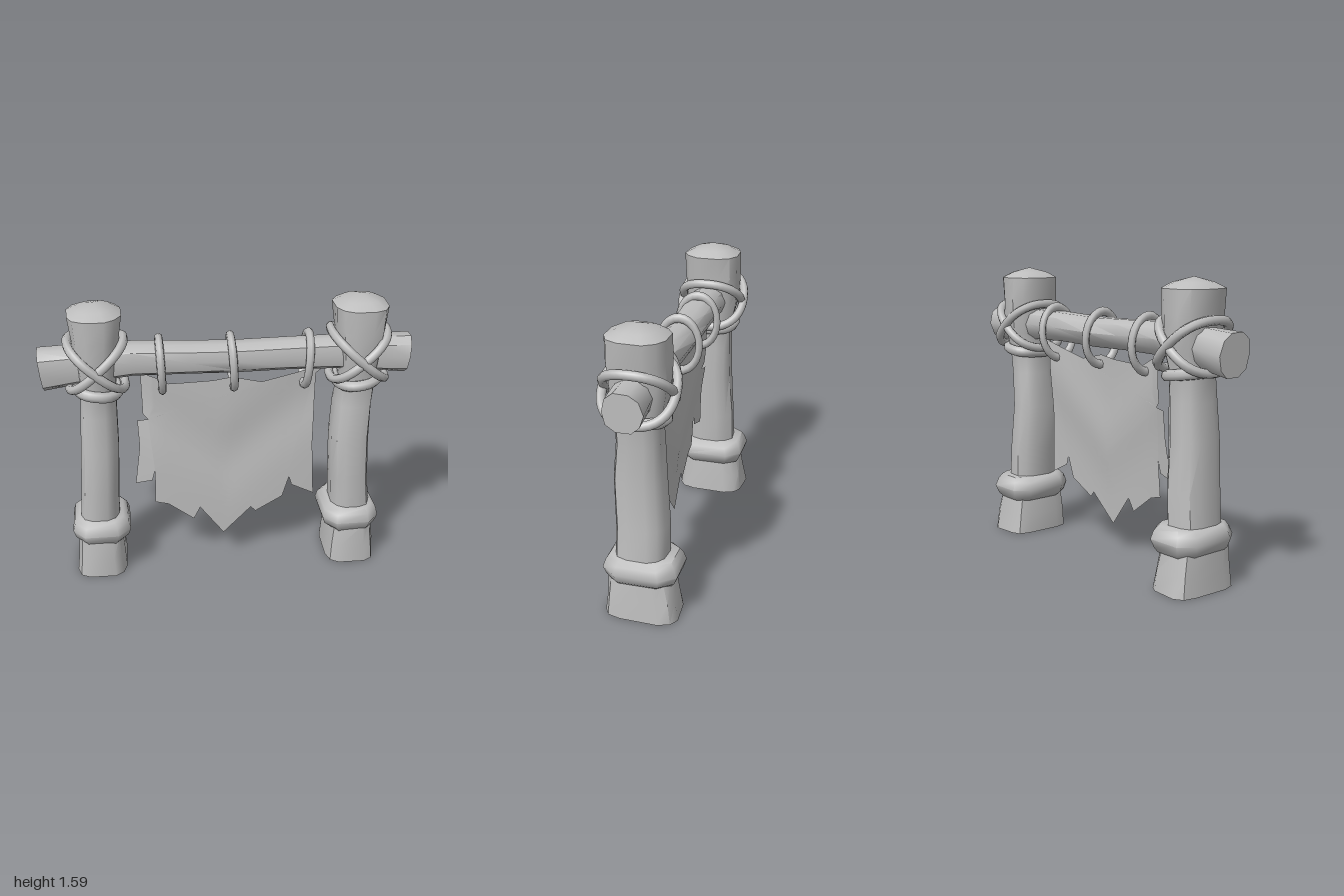
import * as THREE from 'three';
import { mergeVertices, toCreasedNormals } from 'three/addons/utils/BufferGeometryUtils.js';

const grey = new THREE.MeshStandardMaterial({ color: 0xbdbdbd, side: THREE.DoubleSide });
grey.name = 'plain grey';

// Small seeded generator for hand-hewn irregularity
function seeded(seed) {
  let s = seed;
  return () => (s = (s * 16807) % 2147483647) / 2147483647;
}

// Point on a rounded-square outline; power 1 is an ellipse, lower is boxier
function outline(a, power) {
  const f = (v) => Math.sign(v) * Math.abs(v) ** power;
  return [f(Math.cos(a)), f(Math.sin(a))];
}

// Capped skin over rings [y, centreX, centreZ, radiusX, radiusZ]; grooves are per-side dents
function loft(rings, { sides = 12, power = 0.8, rough = 0.05, seed = 7, dome = 0, crease = 0.7 } = {}) {
  const rnd = seeded(seed), pos = [], idx = [];
  for (let k = 0; k < 5; k++) rnd();
  const groove = Array.from({ length: sides }, () => 1 - rough * rnd());
  for (const [y, cx, cz, rx, rz] of rings) {
    for (let i = 0; i < sides; i++) {
      const [c, s] = outline(((i + 0.5) / sides) * Math.PI * 2, power);
      const k = groove[i] + rough * (rnd() - 0.4);
      pos.push(cx + c * rx * k, y, cz + s * rz * k);
    }
  }
  const n = rings.length, at = (r, i) => r * sides + (i % sides);
  for (let r = 0; r < n - 1; r++) for (let i = 0; i < sides; i++) {
    idx.push(at(r, i), at(r + 1, i), at(r, i + 1), at(r, i + 1), at(r + 1, i), at(r + 1, i + 1));
  }
  const first = rings[0], last = rings[n - 1];
  pos.push(first[1], first[0], first[2], last[1], last[0] + dome, last[2]);
  for (let i = 0; i < sides; i++) {
    idx.push(n * sides, at(0, i), at(0, i + 1), n * sides + 1, at(n - 1, i + 1), at(n - 1, i));
  }
  // Cap centres: x, y, z
  pos.splice(n * sides * 3, 6, first[1], first[0], first[2], last[1], last[0] + dome, last[2]);
  const g = new THREE.BufferGeometry();
  g.setAttribute('position', new THREE.Float32BufferAttribute(pos, 3));
  g.setIndex(idx);
  return toCreasedNormals(g, crease);
}

function add(parent, name, geometry) {
  const mesh = new THREE.Mesh(geometry, grey);
  mesh.name = name;
  parent.add(mesh);
  return mesh;
}

// Closed rope round a post; tilt is the height change from centre to the +x side
function ropeLoop(cx, cy, rx, rz, tilt, r) {
  const pts = [];
  for (let i = 0; i < 20; i++) {
    const [c, s] = outline((i / 20) * Math.PI * 2, 0.85);
    pts.push(new THREE.Vector3(cx + c * rx, cy + c * tilt, s * rz));
  }
  return new THREE.TubeGeometry(new THREE.CatmullRomCurve3(pts, true), 40, r, 7, true);
}

function post(name, side, topX, bend, seed) {
  const g = new THREE.Group();
  g.name = name;
  const x = side * 0.72, bandX = side * 0.713;
  add(g, 'foot', loft([
    [0.01, x, -0.015, 0.147, 0.203], [0.12, x, -0.01, 0.136, 0.188], [0.25, x, 0, 0.124, 0.17],
  ], { power: 0.5, rough: 0.05, seed }));
  add(g, 'footBand', loft([
    [0.21, bandX, -0.01, 0.13, 0.175], [0.235, bandX, -0.01, 0.155, 0.195], [0.28, bandX, -0.01, 0.17, 0.211],
    [0.325, bandX, -0.01, 0.157, 0.195], [0.352, bandX, -0.01, 0.13, 0.175],
  ], { sides: 8, power: 0.6, rough: 0.03, seed: seed + 3, crease: 1 }));
  add(g, 'shaft', loft([
    [0.3, x, 0, 0.115, 0.142], [0.52, x + bend * 0.5, 0, 0.11, 0.14], [0.78, x + bend, 0.012, 0.108, 0.134],
    [0.98, (x + topX) / 2 + bend / 2, 0, 0.104, 0.122], [1.12, topX, 0, 0.1, 0.118],
    [1.22, topX, 0, 0.11, 0.145], [1.32, topX, 0, 0.12, 0.158], [1.42, topX, 0, 0.132, 0.16],
    [1.545, topX, 0, 0.147, 0.162], [1.575, topX, 0, 0.095, 0.1],
  ], { power: 0.72, rough: 0.06, seed: seed + 9, dome: 0.027 }));
  // Lashing: a crossed pair over and under the beam, and a collar below
  add(g, 'crossRopeA', ropeLoop(topX, 1.265, 0.148, 0.174, 0.13, 0.025));
  add(g, 'crossRopeB', ropeLoop(topX, 1.265, 0.148, 0.184, -0.13, 0.025));
  add(g, 'collarRope', ropeLoop(topX, 1.12, 0.11, 0.133, 0.015 * side, 0.03));
  return g;
}

// Torn cloth: outline triangulated, split finely, then folded by a rule
function clothGeometry() {
  const edge = [
    [-0.52, 1.2], [-0.46, 1.165], [-0.455, 0.94], [-0.428, 0.909], [-0.487, 0.9], [-0.48, 0.75], [-0.51, 0.525],
    [-0.417, 0.545], [-0.4, 0.61], [-0.405, 0.41], [-0.33, 0.39], [-0.187, 0.283], [-0.15, 0.353],
    [-0.016, 0.176], [0.144, 0.33], [0.17, 0.3], [0.326, 0.385], [0.364, 0.508], [0.38, 0.455],
    [0.508, 0.39], [0.492, 0.716], [0.5, 1.14], [0.57, 1.2], [0.5, 1.18], [0.385, 1.15], [0.2, 1.108],
    [0.037, 1.144], [-0.07, 1.128], [-0.31, 1.118], [-0.39, 1.16],
  ].map(([x, y]) => new THREE.Vector2(x, y));
  const flat = new THREE.ShapeGeometry(new THREE.Shape(edge)).toNonIndexed().getAttribute('position');
  let pts = [];
  for (let i = 0; i < flat.count; i++) pts.push(new THREE.Vector3().fromBufferAttribute(flat, i));
  for (let round = 0; round < 4; round++) {
    const next = [];
    for (let i = 0; i < pts.length; i += 3) {
      const [a, b, c] = pts.slice(i, i + 3);
      const ab = a.clone().lerp(b, 0.5), bc = b.clone().lerp(c, 0.5), ca = c.clone().lerp(a, 0.5);
      next.push(a, ab, ca, ab, b, bc, ca, bc, c, ab, bc, ca);
    }
    pts = next;
  }
  // The hem swings forward, more on the right; a soft V hangs from the top corners
  const folded = pts.map(({ x, y }) => {
    const hang = (1.15 - y) * (0.045 - 0.06 * x);
    const sag = (y - 0.65 - 0.8 * Math.abs(x)) / 0.2;
    const flap = Math.max(0, -x - 0.4) * 0.2;
    return new THREE.Vector3(x, y, hang - 0.018 * Math.exp(-sag * sag) - flap);
  });
  const g = mergeVertices(new THREE.BufferGeometry().setFromPoints(folded), 1e-4);
  g.computeVertexNormals();
  return g;
}

export function createModel() {
  const model = new THREE.Group();
  model.name = 'bannerGate';
  model.add(post('rightPost', -1, -0.69, 0.022, 11));
  model.add(post('leftPost', 1, 0.72, -0.028, 57));

  // Crossbeam, lofted upright then laid along x
  const beam = loft([
    [-0.985, -1.238, -0.005, 0.118, 0.105], [-0.8, -1.257, 0, 0.108, 0.1], [-0.5, -1.282, 0, 0.092, 0.098],
    [-0.2, -1.275, 0, 0.087, 0.095], [0.05, -1.27, 0, 0.085, 0.093], [0.35, -1.275, 0, 0.087, 0.096],
    [0.6, -1.276, 0, 0.092, 0.098], [0.85, -1.262, 0, 0.102, 0.1], [0.99, -1.255, -0.005, 0.11, 0.104],
  ], { sides: 10, power: 0.85, rough: 0.06, seed: 23 });
  beam.rotateZ(-Math.PI / 2);
  // Slant the sawn ends
  const p = beam.getAttribute('position');
  for (let i = 0; i < p.count; i++) {
    const x = p.getX(i);
    if (Math.abs(x) > 0.95) p.setX(i, x + Math.sign(x) * (p.getY(i) - 1.25) * 0.12);
  }
  add(model, 'crossbeam', beam);

  // Hanging rings
  for (const [x, lean] of [[-0.35, 0.04], [0.035, 0.06], [0.44, -0.07]]) {
    const ring = new THREE.TorusGeometry(0.13, 0.023, 7, 24).rotateY(Math.PI / 2);
    const mesh = add(model, 'hangingRing', ring);
    mesh.scale.set(1, 1.13, 0.86);
    mesh.position.set(x, 1.237, 0);
    mesh.rotation.z = lean;
  }

  add(model, 'tornBanner', clothGeometry());
  return model;
}
